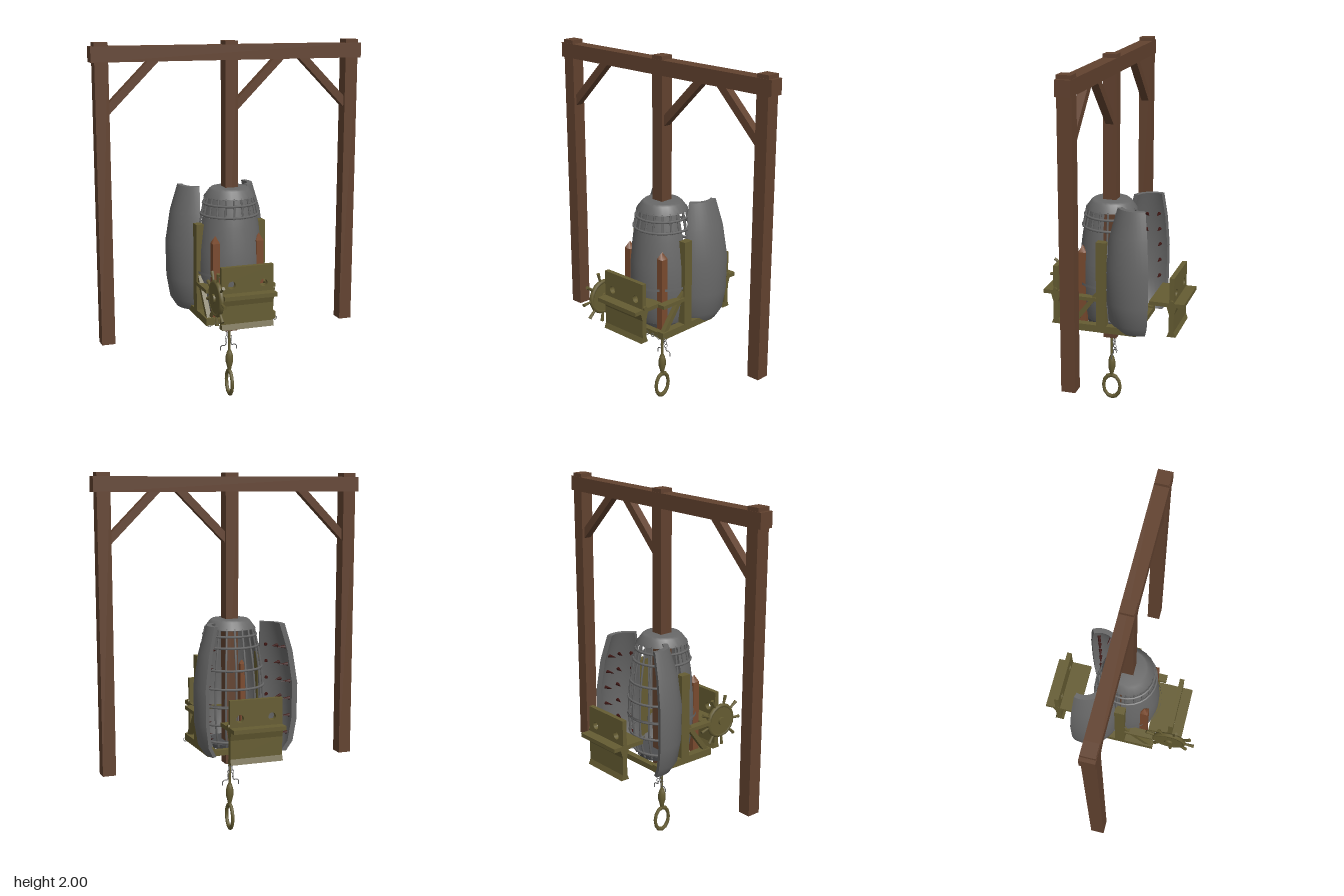
import * as THREE from 'three';

const mat = (name, color) => {
  const m = new THREE.MeshStandardMaterial({ color, side: THREE.DoubleSide });
  m.name = name;
  return m;
};

export function createModel() {
  const wood = mat('dark wood', 0x62422f);
  const stakeWood = mat('stake wood', 0x7a4a2e);
  const brass = mat('olive brass', 0x655c32);
  const iron = mat('iron', 0x686868);
  const darkIron = mat('dark iron', 0x4c4d4f);
  const blood = mat('spike red', 0x3c1512);

  const model = new THREE.Group();
  const CZ = 0.01; // depth of the main axis

  const add = (name, geo, material, x = 0, y = 0, z = 0, parent = model) => {
    const m = new THREE.Mesh(geo, material);
    m.name = name;
    m.position.set(x, y, z);
    parent.add(m);
    return m;
  };
  // box given by its min and max on each axis
  const box = (name, material, x0, x1, y0, y1, z0, z1, parent = model) =>
    add(name, new THREE.BoxGeometry(x1 - x0, y1 - y0, z1 - z0), material,
      (x0 + x1) / 2, (y0 + y1) / 2, (z0 + z1) / 2, parent);
  const shapeOf = pts => new THREE.Shape(pts.map(p => new THREE.Vector2(...p)));
  const extrude = (shape, depth) => new THREE.ExtrudeGeometry(shape, { depth, bevelEnabled: false, curveSegments: 12 });

  // Gallows: three posts, a beam and diagonal braces
  for (const x of [-0.7, 0, 0.7]) box('post', wood, x - 0.036, x + 0.036, 0.4, 2, -0.027, 0.047);
  box('beam', wood, -0.755, 0.755, 1.9, 1.98, -0.029, 0.049);
  for (const [x, s] of [[-0.665, 1], [0.035, 1], [0.665, -1]]) {
    const pts = [[0, 1.63], [0.27, 1.9], [0.21, 1.9], [0, 1.69]].map(([a, y]) => [x + s * a, y]);
    add('brace', extrude(shapeOf(pts), 0.044), wood, 0, 0, CZ - 0.022);
  }

  // Barrel profile, shared by cage, panel and doors
  const profile = [[0.14, 0.51], [0.165, 0.57], [0.182, 0.68], [0.186, 0.78], [0.182, 0.88],
    [0.165, 1.02], [0.148, 1.1], [0.134, 1.17]];
  const radiusAt = y => {
    for (let i = 1; i < profile.length; i++) {
      const [r0, y0] = profile[i - 1], [r1, y1] = profile[i];
      if (y <= y1) return r0 + (r1 - r0) * Math.max(0, (y - y0) / (y1 - y0));
    }
    return profile[profile.length - 1][0];
  };
  const lathe = (pts, n, start, len) =>
    new THREE.LatheGeometry(pts.map(p => new THREE.Vector2(...p)), n, start, len);

  // Cage: solid front panel, cap, base and a lattice of bars and hoops
  const cage = new THREE.Group();
  cage.name = 'cage';
  cage.position.z = CZ;
  model.add(cage);
  add('frontPanel', lathe(profile.map(([r, y]) => [r - 0.006, y]), 16, -Math.PI / 2, Math.PI), iron, 0, 0, 0, cage);
  add('cap', lathe([[0.13, 1.16], [0.142, 1.165], [0.112, 1.205], [0.1, 1.215], [0, 1.217]], 24), iron, 0, 0, 0, cage);
  add('base', new THREE.CylinderGeometry(0.145, 0.14, 0.025, 16), darkIron, 0, 0.52, 0, cage);

  const N = 20;
  for (let i = 0; i < N; i++) {
    const a = (i + 0.5) / N * Math.PI * 2;
    const y0 = Math.cos(a) > 0 ? 1.06 : 0.52, pts = [];
    for (let k = 0; k <= 8; k++) {
      const y = y0 + (1.17 - y0) * k / 8, r = radiusAt(y);
      pts.push(new THREE.Vector3(r * Math.sin(a), y, r * Math.cos(a)));
    }
    add('cageBar', new THREE.TubeGeometry(new THREE.CatmullRomCurve3(pts), 10, 0.006, 5), iron, 0, 0, 0, cage);
  }
  const hoop = (y, half) => {
    const t = add('hoop', new THREE.TorusGeometry(radiusAt(y) + 0.003, 0.007, 6, 28, half ? Math.PI : Math.PI * 2),
      iron, 0, y, 0, cage);
    t.rotation.x = -Math.PI / 2; // half hoops cover the back
  };
  for (const y of [0.55, 0.65, 0.75, 0.85, 0.95]) hoop(y, true);
  for (const y of [1.07, 1.13]) hoop(y, false);
  const band = add('waistBand', new THREE.CylinderGeometry(0.192, 0.192, 0.014, 24, 1, true), iron, 0, 0.755, 0, cage);
  band.scale.set(1, 1, 1.01);

  // Doors: quarter-barrel shells swung open, lined with spikes
  const doorOuter = [[0.135, 0.505], [0.17, 0.56], [0.19, 0.68], [0.193, 0.88], [0.165, 1.06], [0.122, 1.205]];
  const doorInner = doorOuter.map(([r, y]) => [r - 0.028, y]).reverse();
  const ring = [...doorOuter, ...doorInner];
  const doorRadius = y => {
    const i = Math.max(1, doorOuter.findIndex(p => p[1] >= y));
    const [r0, y0] = doorOuter[i - 1], [r1, y1] = doorOuter[i];
    return r0 + (r1 - r0) * (y - y0) / (y1 - y0);
  };
  for (const [s, swing] of [[-1, 1.29], [1, -1.05]]) {
    const door = new THREE.Group();
    door.name = s < 0 ? 'rightDoor' : 'leftDoor';
    door.position.set(s * 0.19, 0, -0.02);
    door.rotation.y = swing;
    model.add(door);
    const start = s < 0 ? Math.PI : Math.PI / 2;
    const ox = -s * 0.19, oz = 0.03;
    for (const part of [doorOuter, doorInner, [doorOuter[5], doorInner[0]], [doorInner[5], doorOuter[0]]])
      add('doorShell', lathe(part, 10, start, Math.PI / 2), iron, ox, 0, oz, door);
    for (const a of [start, start + Math.PI / 2])
      add('doorEdge', new THREE.ShapeGeometry(shapeOf(ring)), iron, ox, 0, oz, door).rotation.y = a - Math.PI / 2;
    for (let row = 0; row < 6; row++) for (let c = 0; c < 3; c++) {
      const y = 0.6 + row * 0.095, a = start + Math.PI / 2 * (c + 0.5) / 3, r = doorRadius(y) - 0.052;
      const spike = add('spike', new THREE.ConeGeometry(0.011, 0.055, 6), blood,
        ox + r * Math.sin(a), y, oz + r * Math.cos(a), door);
      spike.quaternion.setFromUnitVectors(new THREE.Vector3(0, 1, 0), new THREE.Vector3(-Math.sin(a), 0, -Math.cos(a)));
    }
  }

  // Support frame: sleepers, uprights, braces and rails at each side
  for (const s of [-1, 1]) {
    const side = new THREE.Group();
    side.name = 'sideFrame';
    model.add(side);
    const x0 = s * 0.178 - 0.022, x1 = x0 + 0.044;
    box('sleeper', brass, x0, x1, 0.5, 0.54, -0.19, 0.205, side);
    box('upright', brass, x0, x1, 0.5, 1.02, -0.018, 0.038, side);
    box('rail', brass, x0, x1, 0.68, 0.7, 0.03, 0.2, side);
    const strut = extrude(shapeOf([[-0.19, 0.54], [-0.155, 0.54], [-0.035, 0.7], [-0.035, 0.74]]), 0.026);
    strut.rotateY(Math.PI / 2); // profile x becomes -z
    add('strut', strut, brass, s * 0.178 - 0.013, 0, 0, side);
  }
  box('crossSleeper', brass, -0.2, 0.2, 0.5, 0.53, 0.165, 0.2);
  box('rearSleeper', brass, -0.2, 0.2, 0.5, 0.53, -0.19, -0.155);

  // Pointed stakes against the front panel
  for (const x of [-0.125, 0.125]) {
    box('stake', stakeWood, x - 0.02, x + 0.02, 0.52, 0.935, 0.115, 0.157);
    const tip = add('stakeTip', new THREE.ConeGeometry(0.0285, 0.04, 4, 1).rotateY(Math.PI / 4), stakeWood, x, 0.955, 0.136);
    tip.scale.z = 1.04;
  }

  // Stocks at front and back: holed plate, shelf, lower board on a flared foot
  for (const [s, z] of [[1, 0.292], [-1, -0.372]]) {
    const stocks = new THREE.Group();
    stocks.name = s > 0 ? 'frontStocks' : 'rearStocks';
    stocks.position.z = z;
    model.add(stocks);
    const plate = shapeOf([[-0.148, 0.695], [0.145, 0.695], [0.145, 0.84], [-0.148, 0.84]]);
    for (const x of [-0.09, 0.09]) plate.holes.push(new THREE.Path().absarc(x, 0.742, 0.021, 0, Math.PI * 2, true));
    add('holedPlate', extrude(plate, 0.026), brass, 0, 0, -0.013, stocks);
    const zi = -s * 0.125, zo = s * 0.07;
    box('shelf', brass, -0.148, 0.147, 0.675, 0.697, Math.min(zi, zo), Math.max(zi, zo), stocks);
    const foot = [[0.025, 0.5], [0.014, 0.53], [0.014, 0.63], [0.027, 0.675]];
    const outline = [...foot, ...foot.map(([a, y]) => [-a, y]).reverse()];
    add('lowerBoard', extrude(shapeOf(outline), 0.293).rotateY(Math.PI / 2), brass, -0.148, 0, 0, stocks);
    const pin = add('hingePin', new THREE.CylinderGeometry(0.012, 0.012, 0.305, 10), brass, 0.003, 0.703, 0, stocks);
    pin.rotation.z = Math.PI / 2;
  }

  // Hand wheel beside the front stocks
  const wheel = new THREE.Group();
  wheel.name = 'handWheel';
  wheel.position.set(-0.175, 0.677, 0.295);
  model.add(wheel);
  const disc = (name, r, w, m) => add(name, new THREE.CylinderGeometry(r, r, w, 20).rotateZ(Math.PI / 2), m, 0, 0, 0, wheel);
  disc('wheelDisc', 0.085, 0.022, brass);
  disc('wheelHub', 0.024, 0.044, brass);
  add('wheelRim', new THREE.TorusGeometry(0.088, 0.013, 6, 20).rotateY(Math.PI / 2), brass, 0, 0, 0, wheel);
  for (let i = 0; i < 9; i++) {
    const a = i / 9 * Math.PI * 2 + 0.25;
    const spoke = add('wheelHandle', new THREE.CylinderGeometry(0.01, 0.006, 0.06, 6), brass,
      0, 0.117 * Math.cos(a), 0.117 * Math.sin(a), wheel);
    spoke.rotation.x = a;
  }
  const axle = add('axle', new THREE.CylinderGeometry(0.012, 0.012, 0.06, 8), brass, -0.15, 0.677, 0.295);
  axle.rotation.z = Math.PI / 2;

  // Small rings along the lower front edge
  for (let i = 0; i < 10; i++) add('ringLink', new THREE.TorusGeometry(0.011, 0.002, 4, 10), iron, -0.18 + i * 0.042, 0.503, 0.2);

  // Hanging key: rod, swollen collar and an oval handle
  const key = [[0.007, 0.4], [0.007, 0.28], [0.014, 0.265], [0.021, 0.24], [0.021, 0.205], [0.013, 0.175], [0.009, 0.155]];
  add('keyShaft', lathe(key.reverse(), 10), brass, 0, 0, CZ);
  const handle = add('keyHandle', new THREE.TorusGeometry(0.05, 0.01, 6, 12).rotateY(Math.PI / 2), brass, 0, 0.083, CZ);
  handle.scale.y = 1.38;

  // Chain links and claw hooks behind the key
  for (let i = 0; i < 4; i++)
    for (const s of [-1, 1]) {
      const link = add('chainLink', new THREE.TorusGeometry(0.009, 0.002, 4, 10), iron, s * (0.006 + i * 0.003), 0.385 - i * 0.019, -0.005);
      link.rotation.y = i % 2 ? 1.2 : 0.2;
    }
  for (const s of [-1, 1]) {
    const pts = [[0.012, 0.32], [0.02, 0.3], [0.035, 0.302], [0.048, 0.292], [0.048, 0.272]];
    const curve = new THREE.CatmullRomCurve3(pts.map(([x, y]) => new THREE.Vector3(s * x, y, -0.005)));
    add('clawHook', new THREE.TubeGeometry(curve, 12, 0.003, 5), iron);
  }
  return model;
}
